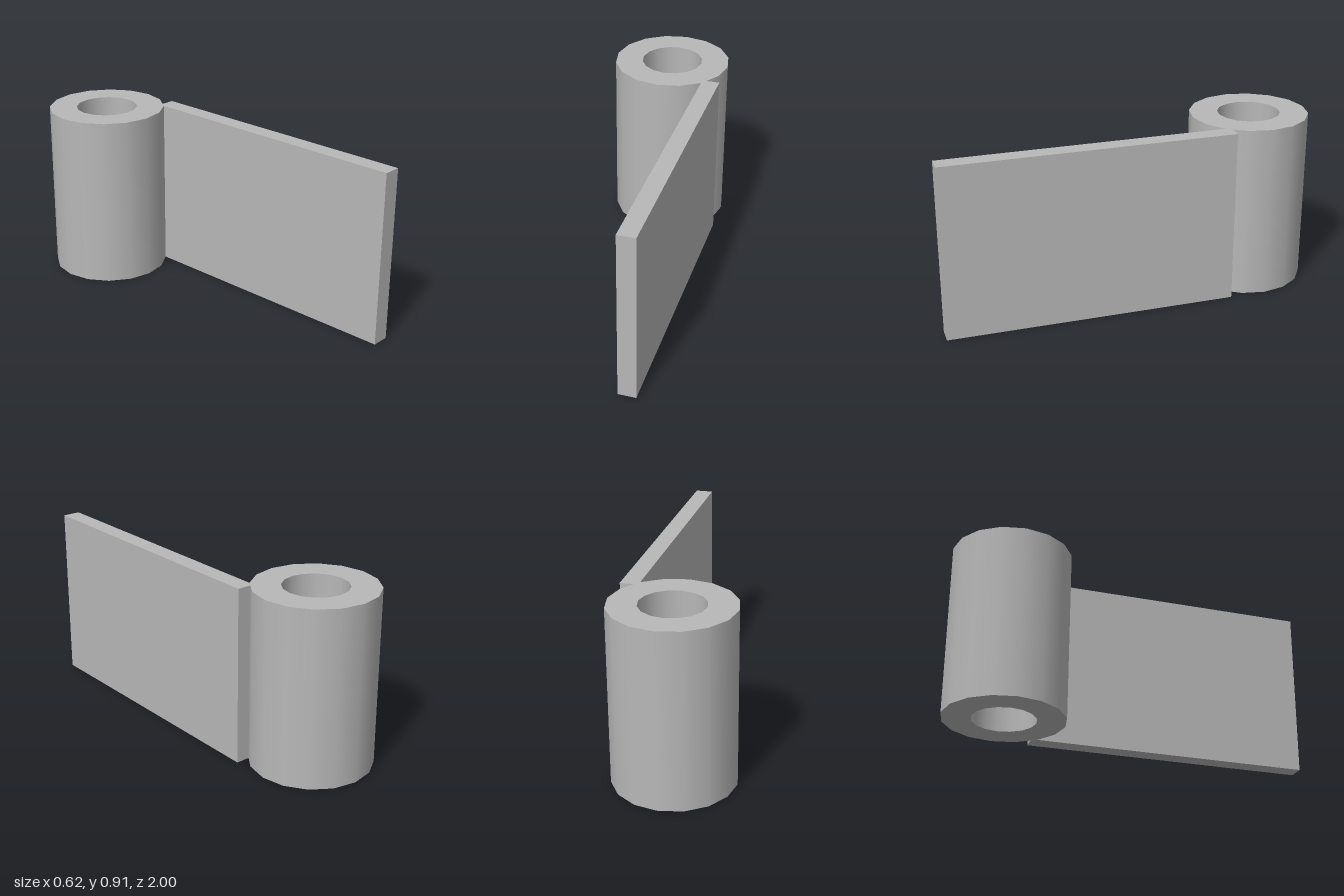
import * as THREE from 'three';
import { mergeGeometries } from 'three/addons/utils/BufferGeometryUtils.js';

const H = 0.906, OUTER = 0.31, INNER = 0.163, SIDES = 16;

// Hollow tube: each profile edge is lathed on its own, so the rims stay sharp
function tubeGeometry() {
  const profile = [[OUTER, 0], [OUTER, H], [INNER, H], [INNER, 0]]
    .map(([r, y]) => new THREE.Vector2(r, y));
  return mergeGeometries(profile.map((p, i) =>
    new THREE.LatheGeometry([p, profile[(i + 1) % profile.length]], SIDES)));
}

export function createModel() {
  const group = new THREE.Group();
  group.name = 'hingeHalf';
  const grey = new THREE.MeshStandardMaterial({ color: 0xb8b8b8 });
  grey.name = 'grey';

  // Barrel with the pin hole
  const barrel = new THREE.Mesh(tubeGeometry(), grey);
  barrel.name = 'barrel';
  barrel.position.z = -0.69;
  group.add(barrel);

  // Flat leaf, tangent to the left side of the barrel
  const leaf = new THREE.Mesh(new THREE.BoxGeometry(0.092, H, 1.5), grey);
  leaf.name = 'leaf';
  leaf.position.set(0.264, H / 2, 0.25);
  group.add(leaf);

  return group;
}
